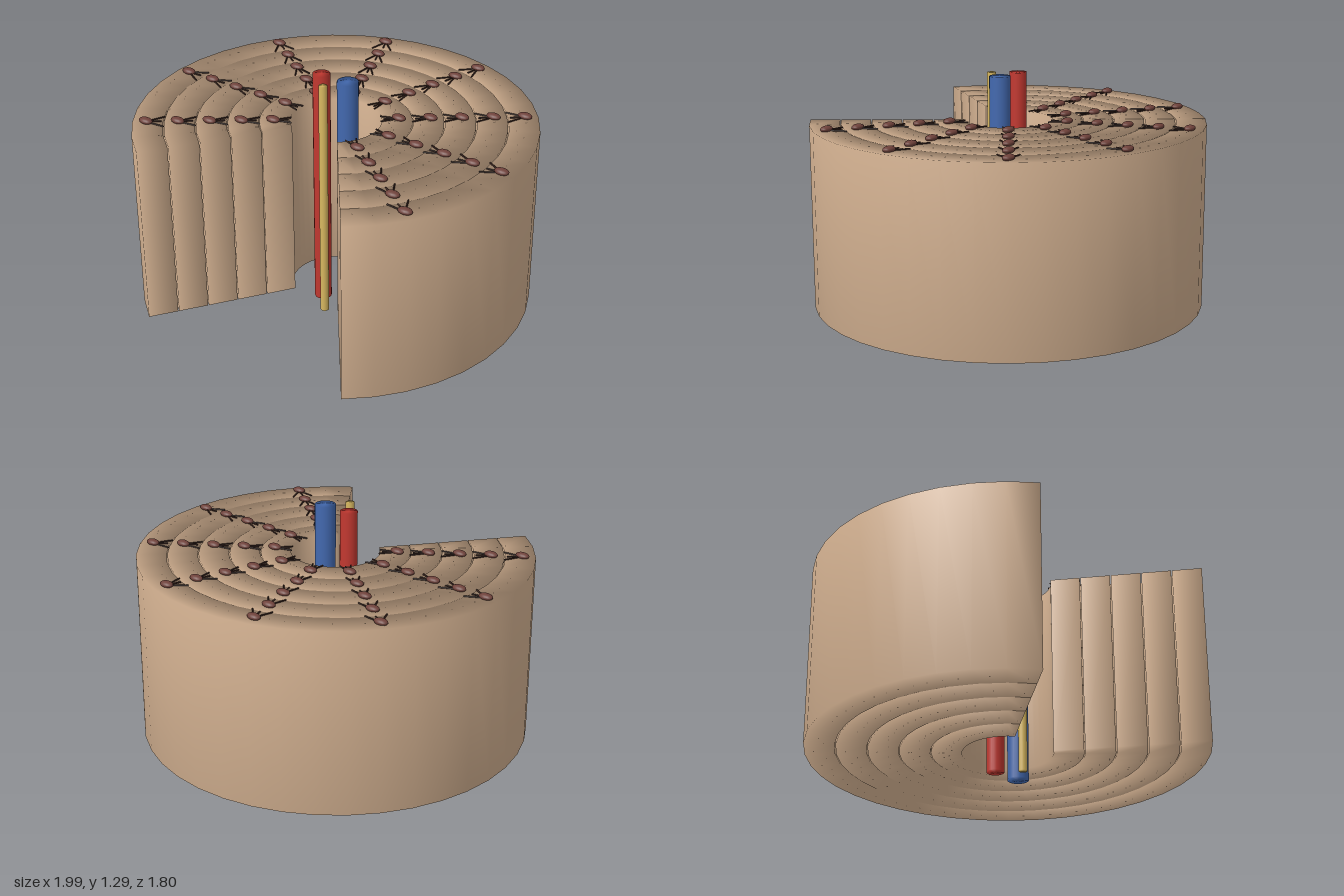
import * as THREE from 'three';
import { mergeVertices } from 'three/addons/utils/BufferGeometryUtils.js';

const CZ = 0.095;            // z of the common axis
const BOTTOM = 0.12, TOP = 1.06;
const PITCH = 0.155, CORE = 0.225, THICK = 0.15;
const STEP = Math.PI / 5;    // spacing of the cells, also half the open wedge

const mat = (name, color) => {
  const m = new THREE.MeshStandardMaterial({ color });
  m.name = name;
  return m;
};

// Open ring with a square section; corners share vertices for soft shading
function ringGeometry(inner, outer, segments = 32) {
  const pos = [], idx = [];
  for (let i = 0; i <= segments; i++) {
    const t = STEP + (2 * Math.PI - 2 * STEP) * i / segments;
    const s = Math.sin(t), c = Math.cos(t);
    for (const [r, y] of [[inner, BOTTOM], [outer, BOTTOM], [outer, TOP], [inner, TOP]]) {
      pos.push(r * s, y, r * c);
    }
  }
  for (let i = 0; i < segments; i++) {
    for (let k = 0; k < 4; k++) {
      const a = i * 4 + k, b = i * 4 + (k + 1) % 4;
      idx.push(a, a + 4, b, a + 4, b + 4, b);
    }
  }
  const e = segments * 4;
  idx.push(0, 1, 2, 0, 2, 3, e, e + 2, e + 1, e, e + 3, e + 2);
  const g = new THREE.BufferGeometry();
  g.setAttribute('position', new THREE.Float32BufferAttribute(pos, 3));
  g.setIndex(idx);
  g.computeVertexNormals();
  return g;
}

// Cylinder whose caps blend softly into the wall
function rodGeometry(radius, height) {
  let g = new THREE.CylinderGeometry(radius, radius, height, 20);
  g.deleteAttribute('normal');
  g.deleteAttribute('uv');
  g = mergeVertices(g);
  g.computeVertexNormals();
  return g;
}

// Thin straight strand between two points
function strand(p, q, material) {
  const dir = q.clone().sub(p);
  const m = new THREE.Mesh(new THREE.CylinderGeometry(0.004, 0.004, dir.length(), 6), material);
  m.position.copy(p).add(q).multiplyScalar(0.5);
  m.quaternion.setFromUnitVectors(new THREE.Vector3(0, 1, 0), dir.normalize());
  m.name = 'cellBranch';
  return m;
}

export function createModel() {
  const bone = mat('bone', 0xd2b090);
  const cellBrown = mat('cellBrown', 0x6e413a);
  const branchBrown = mat('branchBrown', 0x3c2620);
  const red = mat('arteryRed', 0xc23830);
  const blue = mat('veinBlue', 0x4268ae);
  const yellow = mat('nerveYellow', 0xd8b860);

  const model = new THREE.Group();
  model.name = 'boneUnit';
  const body = new THREE.Group();
  body.name = 'layeredBody';
  body.position.z = CZ;
  model.add(body);

  const cellGeo = new THREE.SphereGeometry(1, 14, 10);
  for (let i = 0; i < 5; i++) {
    // Concentric layer
    const inner = CORE + PITCH * i;
    const ring = new THREE.Mesh(ringGeometry(inner, inner + THICK), bone);
    ring.name = 'boneLayer';
    body.add(ring);

    // Cells on top of the layer, with branches reaching towards the axis
    const r = inner + 0.083;
    for (let k = -1; k <= 6; k++) {
      const cell = new THREE.Group();
      cell.name = 'boneCell';
      cell.rotation.y = k * STEP;
      const spread = 0.027 + 0.006 * i;
      const start = new THREE.Vector3(r, TOP + 0.004, 0);
      for (const [reach, side] of [[0.09, -1], [0.075, 0.1], [0.09, 1]]) {
        const end = new THREE.Vector3(r - reach, TOP + 0.003, side * spread);
        cell.add(strand(start, end, branchBrown));
      }
      body.add(cell);

      const nucleus = new THREE.Mesh(cellGeo, cellBrown);
      nucleus.name = 'cellBody';
      nucleus.scale.set(0.038, 0.016, 0.025);
      nucleus.position.set(r * Math.cos(k * STEP), TOP + 0.01, -r * Math.sin(k * STEP));
      body.add(nucleus);
    }
  }

  // Vessels and nerve running through the central canal
  for (const [name, radius, x, z, m] of [
    ['artery', 0.044, -0.085, 0, red],
    ['vein', 0.053, 0.07, 0, blue],
    ['nerve', 0.022, -0.002, 0.105, yellow],
  ]) {
    const rod = new THREE.Mesh(rodGeometry(radius, 1.29), m);
    rod.name = name;
    rod.position.set(x, 0.645, z);
    body.add(rod);
  }
  return model;
}
